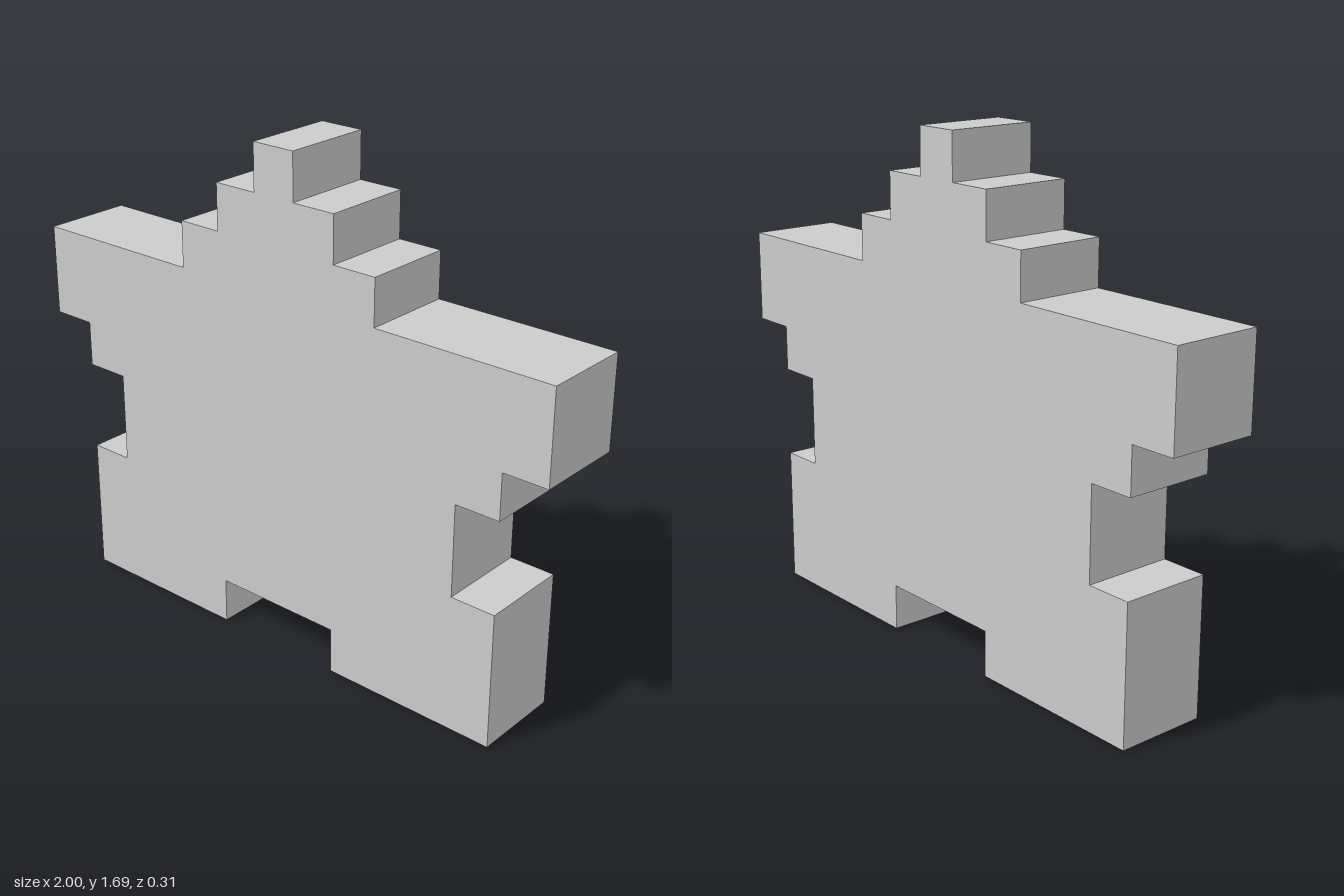
import * as THREE from 'three';

// The star is drawn on a pixel grid 13 cells wide and 11 cells tall
const CELL = 2 / 13;
const DEPTH = 2 * CELL;

// Right half of the stepped outline, bottom to top, in cells
const HALF = [
  [1.5, 1], [1.5, 0], [5.5, 0], [5.5, 3], [4.5, 3], [4.5, 5], [5.5, 5], [5.5, 6],
  [6.5, 6], [6.5, 8], [2.5, 8], [2.5, 9], [1.5, 9], [1.5, 10], [0.5, 10], [0.5, 11],
];

export function createModel() {
  const group = new THREE.Group();
  group.name = 'pixelStar';

  // Mirror the half outline into a closed counter-clockwise loop
  const mirrored = HALF.map(([x, y]) => [-x, y]).reverse();
  const outline = [...HALF, ...mirrored].map(([x, y]) => new THREE.Vector2(x * CELL, y * CELL));

  // Extrude to a slab centred on z = 0
  const geometry = new THREE.ExtrudeGeometry(new THREE.Shape(outline), { depth: DEPTH, bevelEnabled: false });
  geometry.translate(0, 0, -DEPTH / 2);

  const star = new THREE.Mesh(
    geometry,
    new THREE.MeshStandardMaterial({ color: 0xcccccc, flatShading: true }),
  );
  star.name = 'starBody';
  group.add(star);
  return group;
}
